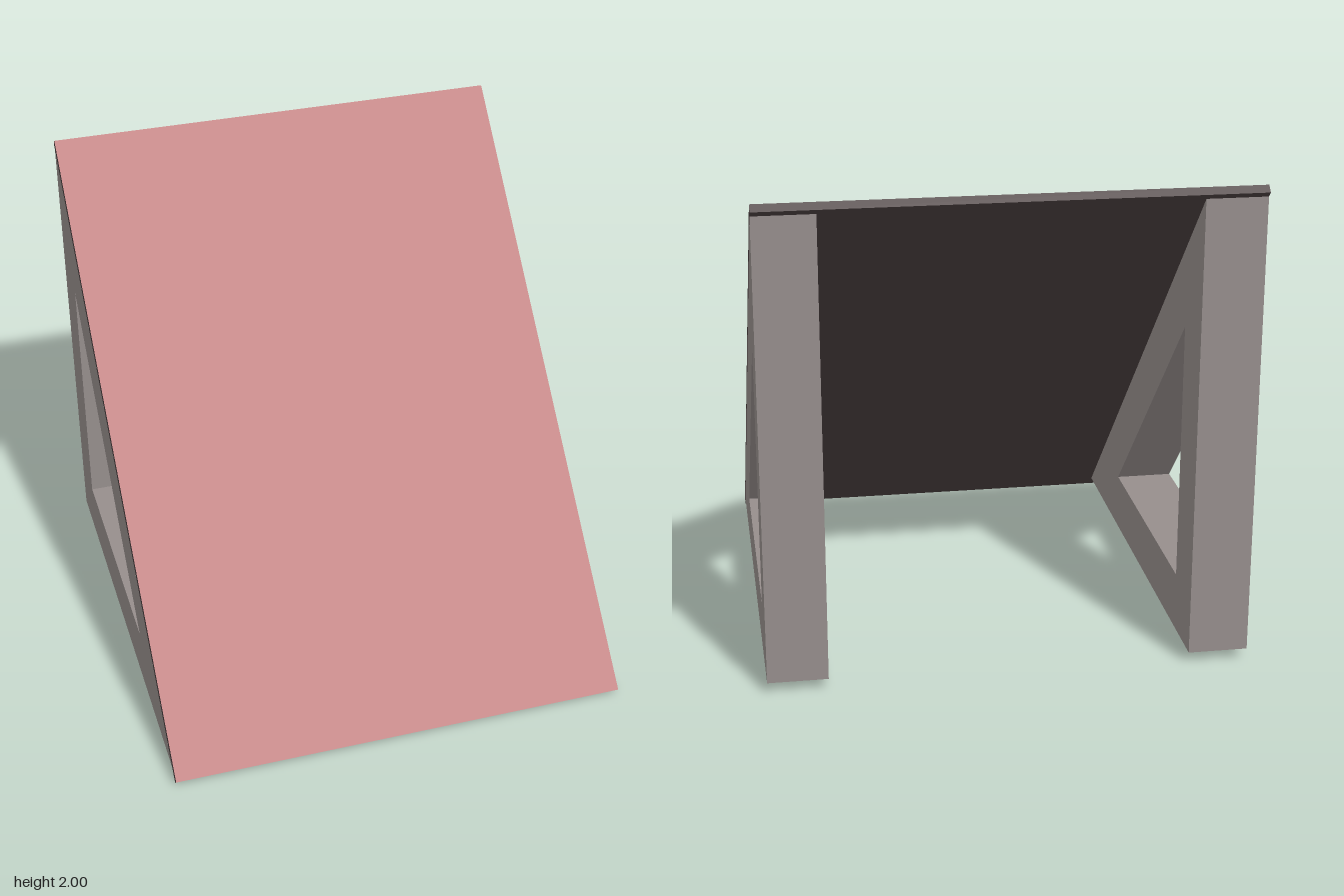
import * as THREE from 'three';

const HALF_WIDTH = 0.983;
const THICK = 0.035;
const LENGTH = 2 * Math.SQRT2 - THICK;
const FRAME_WIDTH = 0.245;

const mat = (name, color) => new THREE.MeshStandardMaterial({ name, color });

const points = (list) => list.map(([z, y]) => new THREE.Vector2(z, y));

export function createModel() {
  const red = mat('dusty red', 0xb56c6c);
  const brown = mat('dark brown', 0x4a3e3e);
  const grey = mat('warm grey', 0x968e8c);

  const model = new THREE.Group();
  model.name = 'ramp';

  // Sloping panel: red upper face, brown edges and underside
  const panel = new THREE.Mesh(
    new THREE.BoxGeometry(HALF_WIDTH * 2, LENGTH, THICK),
    [brown, brown, brown, brown, red, brown]
  );
  panel.name = 'rampPanel';
  panel.rotation.x = -Math.PI / 4;
  panel.position.y = 1;
  model.add(panel);

  // Triangular support with a triangular opening, drawn as (z, y)
  const outline = new THREE.Shape(points([[-0.98, 0.045], [0.93, 0.045], [-0.98, 1.955]]));
  outline.holes.push(new THREE.Path(points([[-0.74, 0.285], [-0.74, 1.37], [0.35, 0.285]])));
  const frameGeometry = new THREE.ExtrudeGeometry(outline, { depth: FRAME_WIDTH, bevelEnabled: false });
  frameGeometry.translate(0, 0, -FRAME_WIDTH / 2);
  frameGeometry.rotateY(-Math.PI / 2);

  // One support flush with each side of the panel
  for (const side of [-1, 1]) {
    const frame = new THREE.Mesh(frameGeometry, grey);
    frame.name = side > 0 ? 'leftSupport' : 'rightSupport';
    frame.position.x = side * (HALF_WIDTH - FRAME_WIDTH / 2);
    model.add(frame);
  }

  return model;
}
